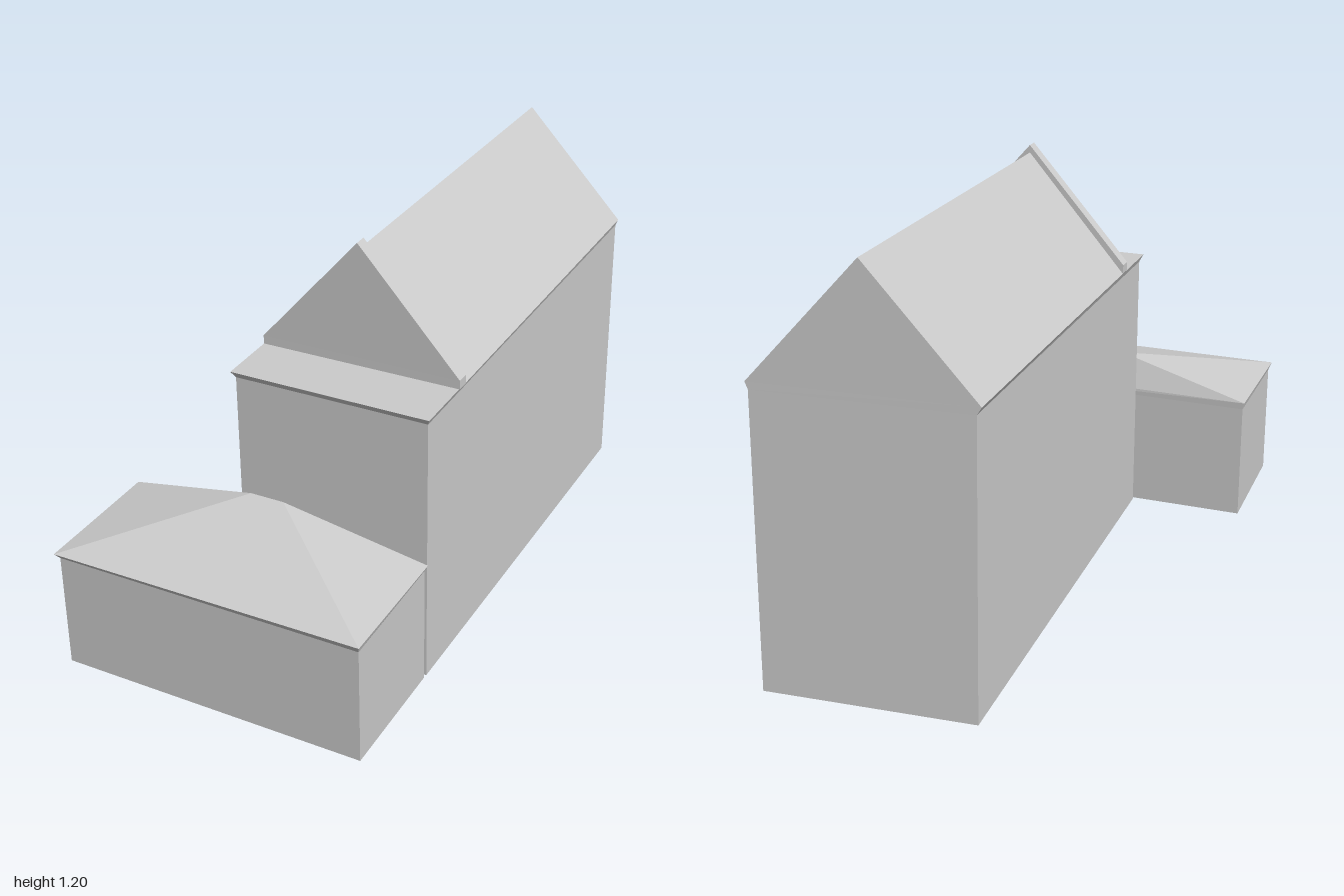
import * as THREE from 'three';

const material = new THREE.MeshStandardMaterial({ color: 0xcccccc, flatShading: true });

// Stacks four-cornered rings (back left, front left, front right, back right) into a faceted solid.
function stack(name, rings, capped) {
  const positions = [];
  const tri = (a, b, c) => {
    const area = new THREE.Triangle(
      new THREE.Vector3(...a), new THREE.Vector3(...b), new THREE.Vector3(...c)).getArea();
    if (area > 1e-7) positions.push(...a, ...b, ...c);
  };
  const quad = (a, b, c, d) => { tri(a, b, c); tri(a, c, d); };
  for (let r = 0; r < rings.length - 1; r++) {
    for (let i = 0; i < 4; i++) {
      const j = (i + 1) % 4;
      quad(rings[r][i], rings[r][j], rings[r + 1][j], rings[r + 1][i]);
    }
  }
  if (capped) {
    quad(...[...rings[0]].reverse());
    quad(...rings[rings.length - 1]);
  }
  const geometry = new THREE.BufferGeometry();
  geometry.setAttribute('position', new THREE.Float32BufferAttribute(positions, 3));
  geometry.computeVertexNormals();
  const mesh = new THREE.Mesh(geometry, material);
  mesh.name = name;
  return mesh;
}

// Lifts a plan of [x, z] corners to a height, or to heights given by a rule.
const at = (plan, y) => plan.map(([x, z]) => [x, typeof y === 'function' ? y(z) : y, z]);

// The underside follows gently rising ground.
const ground = (z) => 0.028 + 0.025 * z;

export function createModel() {
  const group = new THREE.Group();
  group.name = 'house';

  // Tall main building with a flared cornice on the sides and front
  const hallPlan = [[-0.475, -0.848], [-0.162, 0.525], [0.4, 0.422], [0.087, -0.998]];
  const hallEaves = [[-0.487, -0.845], [-0.168, 0.54], [0.413, 0.435], [0.095, -1]];
  group.add(stack('mainWalls',
    [at(hallPlan, ground), at(hallPlan, 0.825), at(hallEaves, 0.845)], true));

  // Gable roof, ending short of the front and leaving a flat ledge
  const backRidge = [-0.2, -0.925], frontRidge = [0.077, 0.285];
  const roofEaves = [hallEaves[0], [-0.213, 0.335], [0.369, 0.23], hallEaves[3]];
  group.add(stack('mainRoof',
    [at(roofEaves, 0.845), at([backRidge, frontRidge, frontRidge, backRidge], 1.18)], false));

  // Thin parapet wall standing slightly above the roof at its front end
  const parapet = [[-0.218, 0.32], [-0.21, 0.358], [0.374, 0.25], [0.366, 0.212]];
  const apexBack = [0.074, 0.27], apexFront = [0.083, 0.308];
  group.add(stack('gableParapet', [
    at(parapet, 0.845), at(parapet, 0.87),
    at([apexBack, apexFront, apexFront, apexBack], 1.202),
  ], false));

  // Low front annex with its own flared cornice
  const annexPlan = [[-0.495, 0.595], [-0.407, 0.98], [0.488, 0.82], [0.402, 0.435]];
  const annexEaves = [[-0.5, 0.595], [-0.41, 0.998], [0.497, 0.83], [0.413, 0.435]];
  group.add(stack('annexWalls',
    [at(annexPlan, ground), at(annexPlan, 0.39), at(annexEaves, 0.41)], true));

  // Hipped roof whose ridge lies close to the main building
  const left = [-0.09, 0.565], right = [0.01, 0.547];
  group.add(stack('annexRoof',
    [at(annexEaves, 0.41), at([left, left, right, right], 0.51)], false));

  return group;
}
